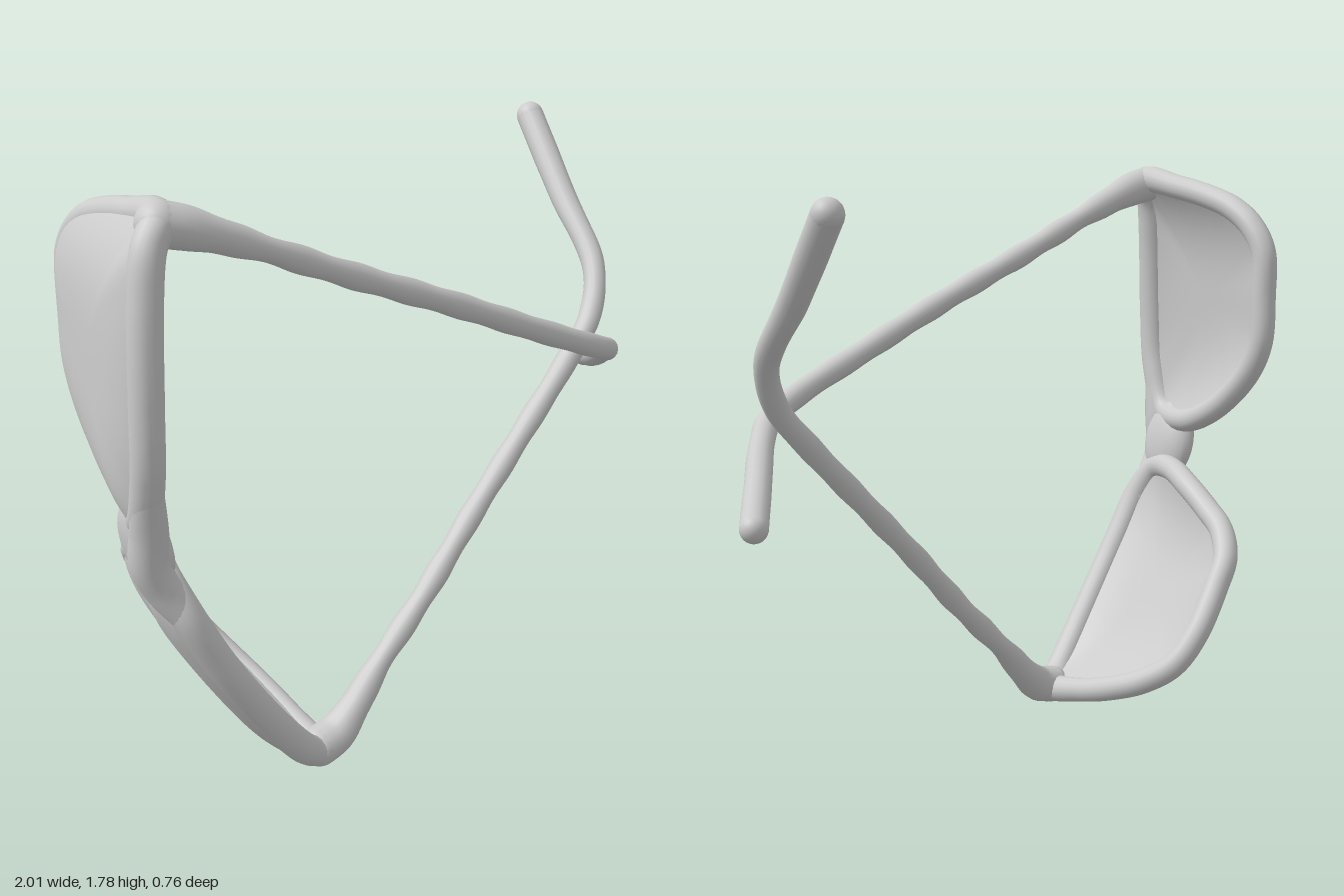
import * as THREE from 'three';
import { ParametricGeometry } from 'three/addons/geometries/ParametricGeometry.js';

const material = new THREE.MeshStandardMaterial({ color: 0xcccccc, roughness: 0.7 });
const shellMaterial = new THREE.MeshStandardMaterial({ color: 0xcccccc, roughness: 0.7, side: THREE.DoubleSide });
const { smoothstep } = THREE.MathUtils;

const toCurve = (pts, closed) =>
  new THREE.CatmullRomCurve3(pts.map((p) => new THREE.Vector3(...p)), closed, 'centripetal');

function addMesh(group, name, geometry, mat = material) {
  const mesh = new THREE.Mesh(geometry, mat);
  mesh.name = name;
  group.add(mesh);
  return mesh;
}

// Tube whose radius varies: radiusAt(t, centre) along the curve
function taperedTube(curve, segments, closed, radiusAt) {
  const sides = 16;
  const geo = new THREE.TubeGeometry(curve, segments, 1, sides, closed);
  const pos = geo.attributes.position;
  const v = new THREE.Vector3();
  for (let i = 0; i <= segments; i++) {
    const c = curve.getPointAt(closed ? (i % segments) / segments : i / segments);
    const r = radiusAt(i / segments, c);
    for (let j = 0; j <= sides; j++) {
      const k = i * (sides + 1) + j;
      v.fromBufferAttribute(pos, k).sub(c).multiplyScalar(r).add(c);
      pos.setXYZ(k, v.x, v.y, v.z);
    }
  }
  return geo;
}

function ball(group, name, p, rx, ry = rx, rz = rx) {
  const mesh = addMesh(group, name, new THREE.SphereGeometry(1, 24, 16));
  mesh.position.set(...p);
  mesh.scale.set(rx, ry, rz);
  return mesh;
}

// Rim loop with a domed lens shell filling it
function buildEye(name, pts) {
  const group = new THREE.Group();
  group.name = name;
  const curve = toCurve(pts, true);
  addMesh(group, 'rim', taperedTube(curve, 140, true, (t, c) => 0.039 + 0.006 * smoothstep(c.z, 0.1, 0.3)));

  // Centre and outward direction of the loop
  const ring = curve.getSpacedPoints(60).slice(0, 60);
  const centre = new THREE.Vector3();
  const normal = new THREE.Vector3();
  ring.forEach((p, i) => {
    centre.addScaledVector(p, 1 / 60);
    normal.add(new THREE.Vector3().crossVectors(p, ring[(i + 1) % 60]));
  });
  normal.normalize();
  if (normal.x > 0) normal.negate();

  // Dome that blends the rim's warp away toward the middle
  const sheet = (base, bulge, power) => new ParametricGeometry((u, v, out) => {
    const s = Math.max(Math.sin(v * 1.5) / Math.sin(1.5), 0.001);
    out.copy(curve.getPointAt(u)).sub(centre);
    const warp = out.dot(normal);
    out.addScaledVector(normal, -warp).multiplyScalar(s).add(centre)
      .addScaledVector(normal, warp * s ** 3 + base + bulge * (1 - s ** power));
  }, 72, 18);
  addMesh(group, 'lensOuterFace', sheet(0.037, 0.055, 4), shellMaterial);
  addMesh(group, 'lensInnerFace', sheet(-0.03, 0.07, 3), shellMaterial);
  return group;
}

// Side arm with a gently uneven surface, thicker rounded tip
function buildTemple(name, pts, hingeRadius, tipRadius) {
  const group = new THREE.Group();
  group.name = name;
  const curve = toCurve(pts, false);
  const radiusAt = (t) => 0.035
    + (hingeRadius - 0.035) * (1 - smoothstep(t, 0, 0.14))
    + (tipRadius - 0.035) * smoothstep(t, 0.72, 0.95)
    + 0.003 * Math.sin(t * 75) * (1 - t) * smoothstep(t, 0, 0.1);
  addMesh(group, 'arm', taperedTube(curve, 140, false, radiusAt));
  ball(group, 'armTip', pts[pts.length - 1], tipRadius);
  ball(group, 'hingeCorner', pts[0], hingeRadius);
  return group;
}

export function createModel() {
  const model = new THREE.Group();
  model.name = 'sunglasses';

  model.add(buildEye('upperEye', [
    [-0.865, 1.73, 0.28], [-0.912, 1.675, 0.31], [-0.938, 1.55, 0.325], [-0.955, 1.3, 0.332],
    [-0.955, 1.1, 0.315], [-0.94, 0.95, 0.25], [-0.89, 0.93, 0.11], [-0.86, 0.965, -0.01],
    [-0.85, 1.035, -0.12], [-0.845, 1.13, -0.21], [-0.845, 1.22, -0.25], [-0.845, 1.36, -0.257],
    [-0.845, 1.5, -0.253], [-0.842, 1.58, -0.205], [-0.84, 1.635, -0.13], [-0.84, 1.672, -0.03],
    [-0.845, 1.705, 0.11],
  ]));

  model.add(buildEye('lowerEye', [
    [-0.44, 0.054, 0.28], [-0.49, 0.085, 0.305], [-0.56, 0.165, 0.32], [-0.67, 0.32, 0.328],
    [-0.78, 0.5, 0.322], [-0.86, 0.67, 0.295], [-0.88, 0.755, 0.23], [-0.84, 0.765, 0.12],
    [-0.805, 0.73, 0.02], [-0.775, 0.665, -0.1], [-0.745, 0.61, -0.19], [-0.7, 0.535, -0.247],
    [-0.65, 0.455, -0.257], [-0.56, 0.315, -0.257], [-0.5, 0.22, -0.22], [-0.46, 0.155, -0.13],
    [-0.438, 0.112, -0.02], [-0.428, 0.075, 0.12],
  ]));

  // Bridge: flattened lump joining the inner corners, with a rounded front bar
  const bridge = new THREE.Group();
  bridge.name = 'bridge';
  ball(bridge, 'bridgeCore', [-0.913, 0.85, 0.205], 0.055, 0.14, 0.1).rotation.z = 0.2;
  const barCurve = toCurve([[-0.952, 1.05, 0.305], [-0.943, 0.93, 0.28], [-0.938, 0.82, 0.265],
    [-0.905, 0.74, 0.27], [-0.85, 0.645, 0.297]], false);
  addMesh(bridge, 'bridgeBar', taperedTube(barCurve, 40, false, (t) => 0.04 + 0.014 * Math.sin(Math.PI * t)));
  model.add(bridge);

  model.add(buildTemple('upperTemple', [
    [-0.866, 1.72, 0.28], [-0.8, 1.7, 0.292], [-0.62, 1.625, 0.3], [-0.35, 1.5, 0.31],
    [0, 1.345, 0.325], [0.3, 1.205, 0.33], [0.52, 1.105, 0.32], [0.65, 1.045, 0.275],
    [0.74, 0.99, 0.18], [0.85, 0.9, 0.03], [0.962, 0.825, -0.127],
  ], 0.058, 0.038));

  model.add(buildTemple('lowerTemple', [
    [-0.433, 0.06, 0.28], [-0.37, 0.075, 0.275], [-0.3, 0.128, 0.265], [-0.2, 0.225, 0.25],
    [0, 0.405, 0.23], [0.2, 0.6, 0.205], [0.4, 0.785, 0.18], [0.6, 0.97, 0.155],
    [0.72, 1.09, 0.13], [0.795, 1.22, 0.06], [0.83, 1.4, -0.13], [0.865, 1.615, -0.337],
  ], 0.06, 0.043));

  return model;
}
